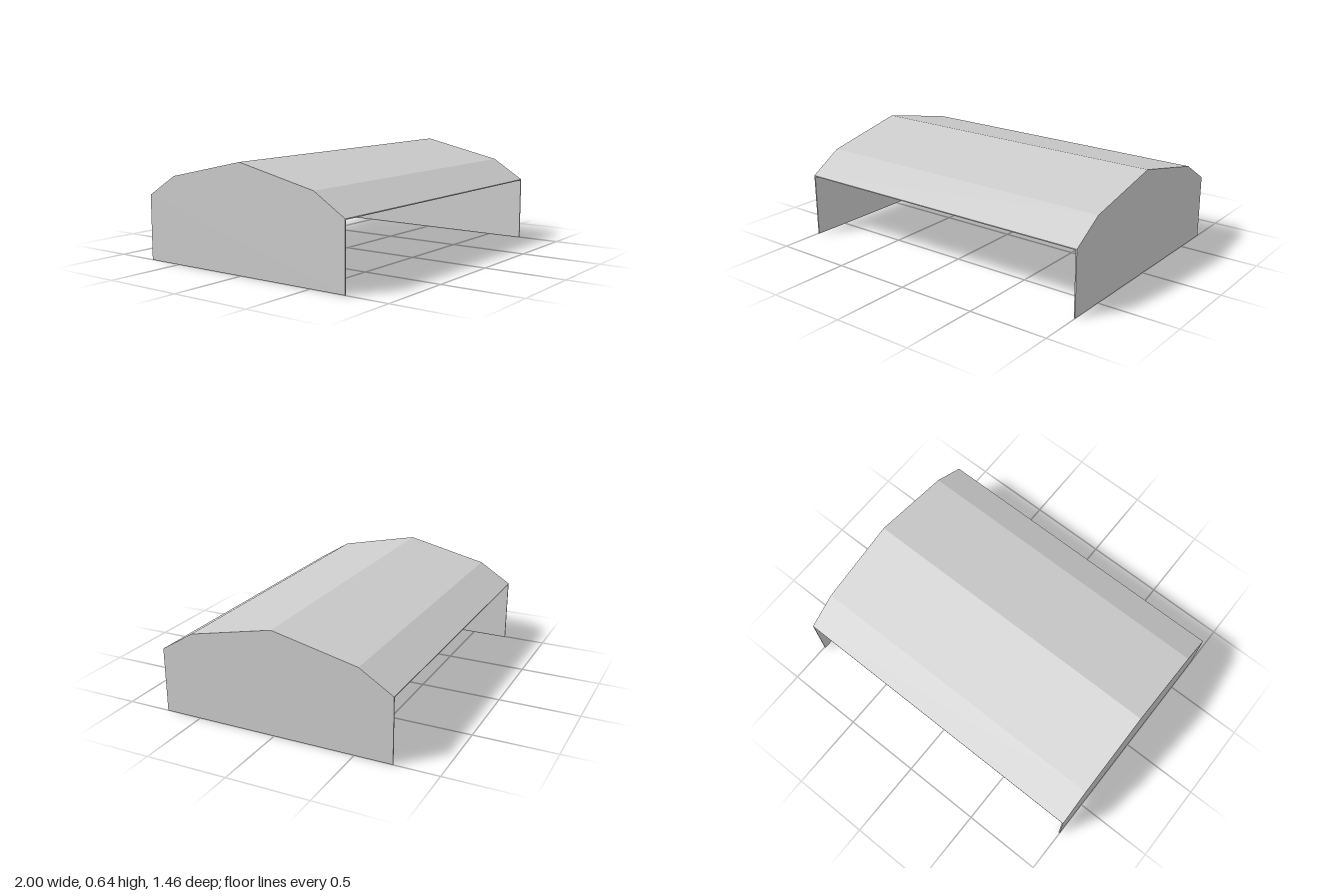
import * as THREE from 'three';

// Half of the roof line, from eave to ridge: [z, y]
const EAVE = [0.73, 0.4], KNEE = [0.525, 0.527], RIDGE = [0, 0.643];
const WALL = 0.008, SKIN = 0.006;

const mirror = ([z, y]) => [-z, y];
const roofLine = [EAVE, KNEE, RIDGE, mirror(KNEE), mirror(EAVE)];

// Extrudes a z-y outline along x, centred on the given x
function extrudeAlongX(points, width, x) {
  const shape = new THREE.Shape(points.map(([z, y]) => new THREE.Vector2(z, y)));
  const geometry = new THREE.ExtrudeGeometry(shape, { depth: width, bevelEnabled: false });
  geometry.translate(0, 0, -width / 2);
  geometry.rotateY(Math.PI / 2);
  geometry.translate(x, 0, 0);
  return geometry;
}

export function createModel() {
  const model = new THREE.Group();
  model.name = 'canopy';

  const grey = new THREE.MeshStandardMaterial({ color: 0xcccccc });
  grey.name = 'light grey';

  function add(name, geometry) {
    const mesh = new THREE.Mesh(geometry, grey);
    mesh.name = name;
    model.add(mesh);
  }

  // Folded roof sheet, fitted between the end walls
  const underside = roofLine.map(([z, y]) => [z, y - SKIN]).reverse();
  add('roof', extrudeAlongX([...roofLine, ...underside], 2 - 2 * WALL, 0));

  // Gabled end walls
  const wallOutline = [[-0.73, 0], [0.73, 0], ...roofLine];
  for (const [name, side] of [['leftWall', 1], ['rightWall', -1]]) {
    add(name, extrudeAlongX(wallOutline, WALL, side * (1 - WALL / 2)));
  }

  return model;
}
